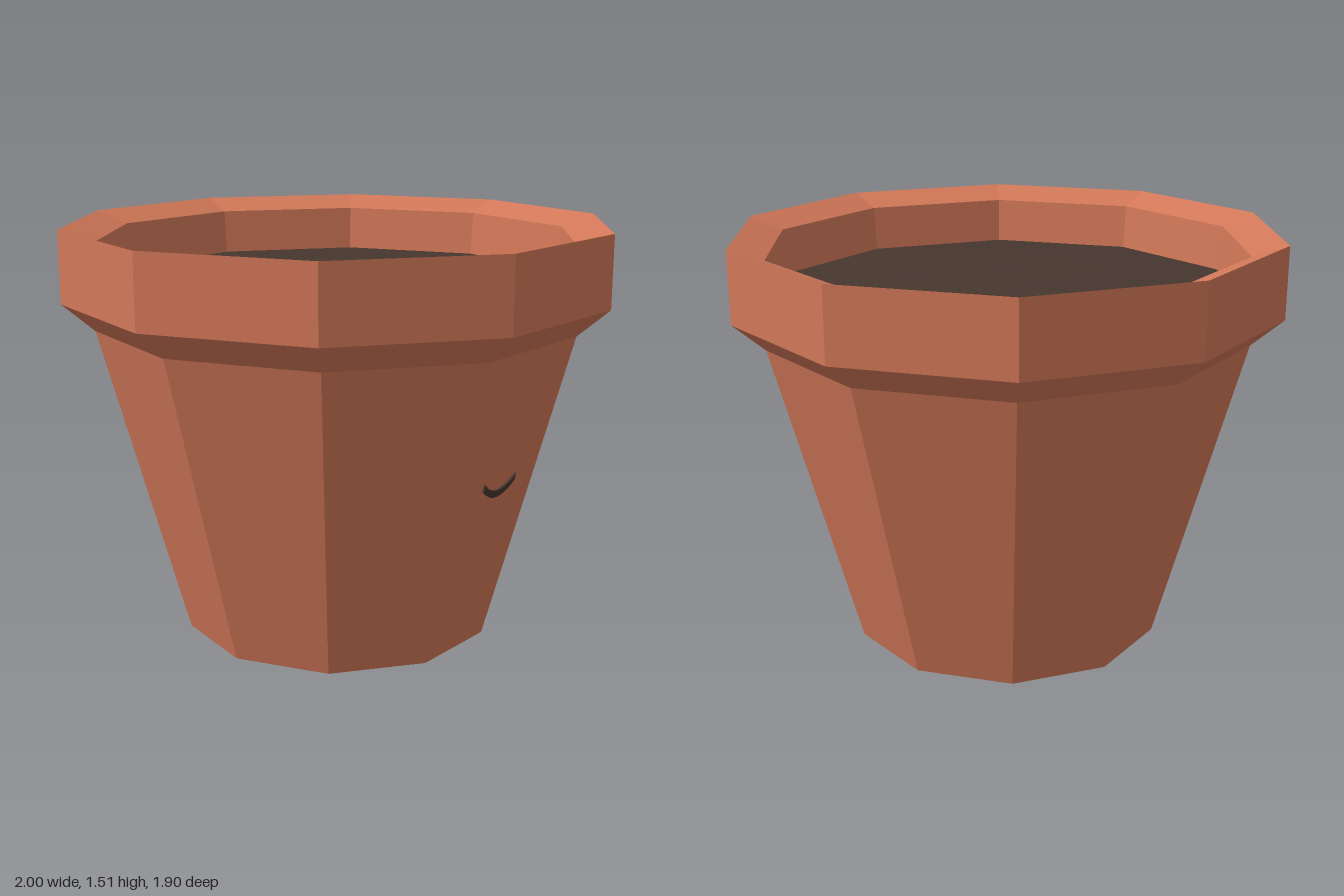
import * as THREE from 'three';

const SIDES = 10;

function flat(geometry) {
  const g = geometry.index ? geometry.toNonIndexed() : geometry;
  g.computeVertexNormals();
  return g;
}

function material(name, color) {
  const m = new THREE.MeshStandardMaterial({ color, flatShading: true });
  m.name = name;
  return m;
}

function part(name, geometry, mat) {
  const mesh = new THREE.Mesh(geometry, mat);
  mesh.name = name;
  return mesh;
}

// Ten-sided turned form with a flat side facing front
function turned(profile) {
  const points = profile.map(([r, y]) => new THREE.Vector2(r, y));
  return flat(new THREE.LatheGeometry(points, SIDES, Math.PI / 2));
}

// Slightly lumpy soil: outer ring, half-step inner ring, centre
function soilGeometry() {
  const bumps = [0.012, 0.02, 0.008, 0.018, 0.01, 0.022, 0.012, 0.016, 0.006, 0.02];
  const step = (Math.PI * 2) / SIDES;
  const at = (r, y, turn) => [r * Math.sin(turn * step), y, r * Math.cos(turn * step)];
  const outer = (i) => at(0.857, 1.3, i - 0.5);
  const inner = (i) => at(0.465, 1.3 + bumps[i % SIDES], i);
  const centre = [0, 1.315, 0];
  const positions = [];
  for (let i = 0; i < SIDES; i++) {
    positions.push(...outer(i), ...outer(i + 1), ...inner(i));
    positions.push(...inner(i), ...outer(i + 1), ...inner(i + 1));
    positions.push(...centre, ...inner(i), ...inner(i + 1));
  }
  const g = new THREE.BufferGeometry();
  g.setAttribute('position', new THREE.Float32BufferAttribute(positions, 3));
  return flat(g);
}

// Thin curved smile plate
function smileGeometry() {
  const n = 8;
  const shape = new THREE.Shape();
  const curve = (t, low, rise) => [0.095 * t, low + rise * t * t];
  for (let i = 0; i <= n; i++) {
    const p = curve((i / n) * 2 - 1, -0.04, 0.042);
    if (i === 0) shape.moveTo(...p);
    else shape.lineTo(...p);
  }
  for (let i = n; i >= 0; i--) shape.lineTo(...curve((i / n) * 2 - 1, -0.013, 0.043));
  shape.closePath();
  return flat(new THREE.ExtrudeGeometry(shape, { depth: 0.008, bevelEnabled: false }));
}

export function createModel() {
  const terracotta = material('terracotta', 0xd27858);
  const earth = material('dark soil', 0x46362e);
  const dark = material('dark smile', 0x44362f);
  const group = new THREE.Group();
  group.name = 'flowerPot';

  // Tapered body with closed base
  group.add(part('body', turned([[0, 0], [0.575, 0], [0.885, 1.15]]), terracotta));

  // Collar: flared underside, outer band, inward-sloping lip, inner wall
  group.add(part('rim', turned([
    [0.885, 1.15], [1, 1.25], [1, 1.51], [0.873, 1.465], [0.855, 1.28],
  ]), terracotta));

  group.add(part('soil', soilGeometry(), earth));

  // Smile lies on the sloping front side
  const smile = part('smile', smileGeometry(), dark);
  smile.position.set(0, 0.65, 0.713);
  smile.rotation.x = Math.atan(0.256);
  group.add(smile);

  return group;
}
